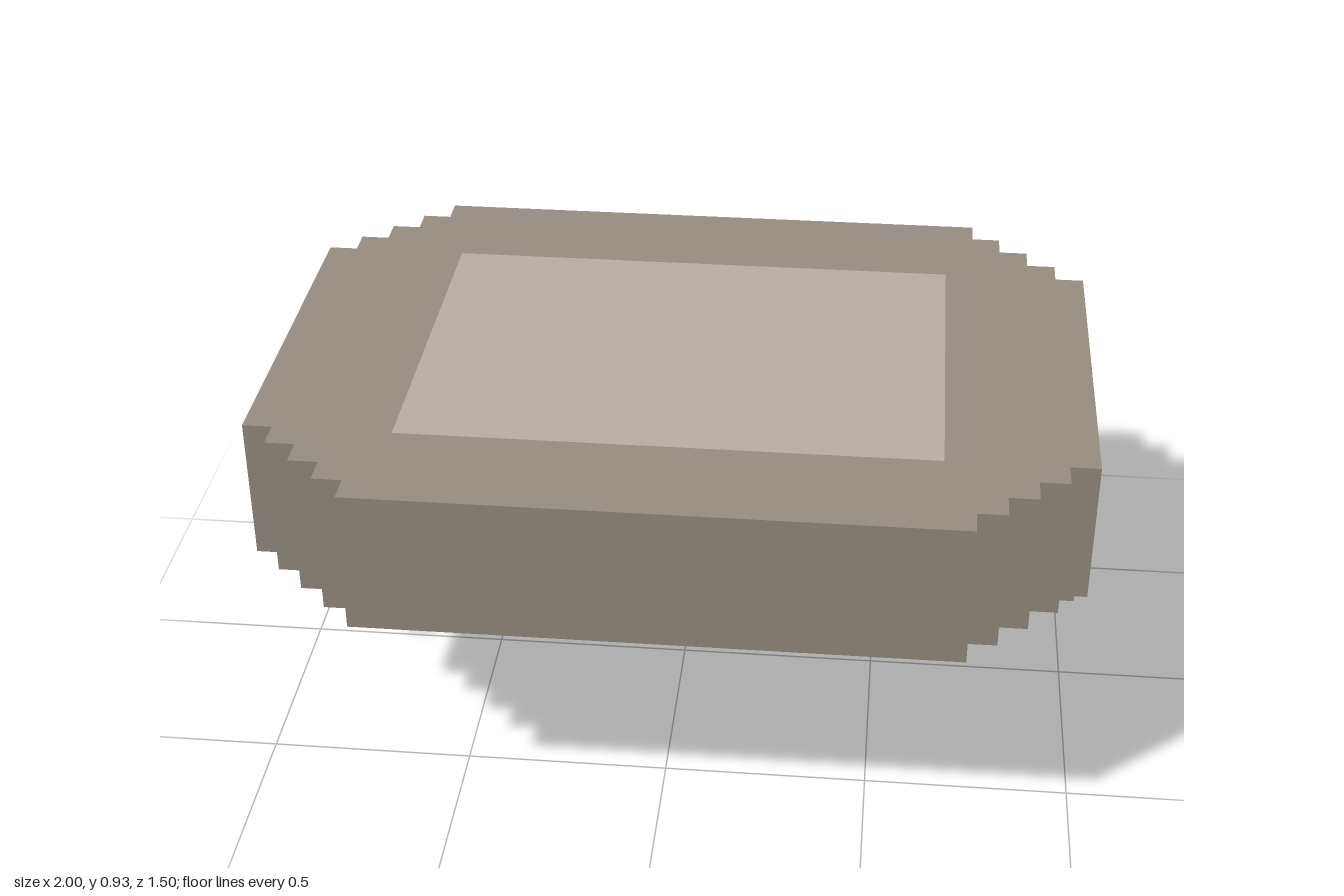
import * as THREE from 'three';

const U = 1 / 14; // one block
const skin = (color) => new THREE.MeshStandardMaterial({ color, flatShading: true, side: THREE.DoubleSide });
const brown = skin(0x988e83);
const pale = skin(0xb8afa8);

function named(name, geometry, material = brown) {
  const mesh = new THREE.Mesh(geometry, material);
  mesh.name = name;
  return mesh;
}

// Flat panel given by its limits in blocks; a single number marks the axis it is flat along
function panel(name, x, y, z, material) {
  const size = (v) => (Array.isArray(v) ? (v[1] - v[0]) * U : 0);
  const middle = (v) => (Array.isArray(v) ? (v[0] + v[1]) / 2 * U : v * U);
  let geometry;
  if (!size(x)) geometry = new THREE.PlaneGeometry(size(z), size(y)).rotateY(Math.PI / 2);
  else if (!size(y)) geometry = new THREE.PlaneGeometry(size(x), size(z)).rotateX(-Math.PI / 2);
  else geometry = new THREE.PlaneGeometry(size(x), size(y));
  geometry.translate(middle(x), middle(y), middle(z));
  return named(name, geometry, material);
}

// Rectangle outline with stepped corners, as [x, z] in blocks
function steppedOutline() {
  const quarter = [[10, 10.5]];
  for (let i = 0; i < 4; i++) quarter.push([10 + i, 9.5 - i], [11 + i, 9.5 - i]);
  const half = [...quarter, ...quarter.map(([x, z]) => [x, -z]).reverse()];
  return [...half, ...half.map(([x, z]) => [-x, z]).reverse()];
}

// Top surface with a rectangular opening for the pale panel
function crown(outline) {
  const toPoints = (list) => list.map(([x, z]) => new THREE.Vector2(x * U, z * U));
  const shape = new THREE.Shape(toPoints(outline));
  shape.holes.push(new THREE.Path(toPoints([[-9, -6.5], [9, -6.5], [9, 6.5], [-9, 6.5]])));
  return new THREE.ShapeGeometry(shape).rotateX(-Math.PI / 2).translate(0, 13 * U, 0);
}

// Upright wall following the outline
function band(outline, low, high) {
  const positions = [];
  outline.forEach(([x0, z0], i) => {
    const [x1, z1] = outline[(i + 1) % outline.length];
    const a = [x0 * U, low * U, z0 * U], b = [x1 * U, low * U, z1 * U];
    const c = [x1 * U, high * U, z1 * U], d = [x0 * U, high * U, z0 * U];
    positions.push(...a, ...b, ...c, ...a, ...c, ...d);
  });
  const geometry = new THREE.BufferGeometry();
  geometry.setAttribute('position', new THREE.Float32BufferAttribute(positions, 3));
  geometry.computeVertexNormals();
  return geometry;
}

export function createModel() {
  const model = new THREE.Group();
  model.name = 'steppedCap';
  const outline = steppedOutline();

  // Hollow crown
  model.add(
    named('crownTop', crown(outline)),
    panel('crownPanel', [-9, 9], 13, [-6.5, 6.5], pale),
    named('crownBand', band(outline, 8, 13)),
    panel('frontRim', [-10, 10], 8, [9.5, 10.5]),
  );

  // Neck guard, open on the inside between its two wings
  model.add(
    panel('neckGuardBack', [-13, 13], [0, 8], -10.5),
    panel('neckGuardRim', [-13, 13], 0, [-10.5, -9.5]),
  );

  for (const s of [-1, 1]) {
    const side = s > 0 ? 'left' : 'right';
    const span = (a, b) => (s > 0 ? [a, b] : [-b, -a]);

    // Wing of the neck guard
    model.add(
      panel(side + 'WingFront', span(10, 13), [0, 8], -9.5),
      panel(side + 'WingTop', span(10, 13), 8, [-10.5, -9.5]),
      panel(side + 'WingEnd', s * 13, [0, 8], [-10.5, -9.5]),
    );

    // Side flap, closed on the inside only at its rear tab
    model.add(
      panel(side + 'SideRim', span(13, 14), 8, [2.5, 6.5]),
      panel(side + 'FlapOuter', s * 14, [5, 8], [-8.5, 2.5]),
      panel(side + 'FlapRim', span(13, 14), 5, [-8.5, 2.5]),
      panel(side + 'FlapFront', span(13, 14), [5, 8], 2.5),
      panel(side + 'FlapBack', span(13, 14), [5, 8], -8.5),
      panel(side + 'TabTop', span(13, 14), 8, [-8.5, -6.5]),
      panel(side + 'TabInner', s * 13, [5, 8], [-8.5, -6.5]),
    );

    // Undersides of the corner steps
    for (const t of [-1, 1]) {
      for (let i = 0; i < 3; i++) {
        const z = t * (9 - i);
        model.add(panel(side + (t > 0 ? 'Front' : 'Back') + 'StepRim',
          span(10 + i, 11 + i), 8, [z - 0.5, z + 0.5]));
      }
    }
  }
  return model;
}
